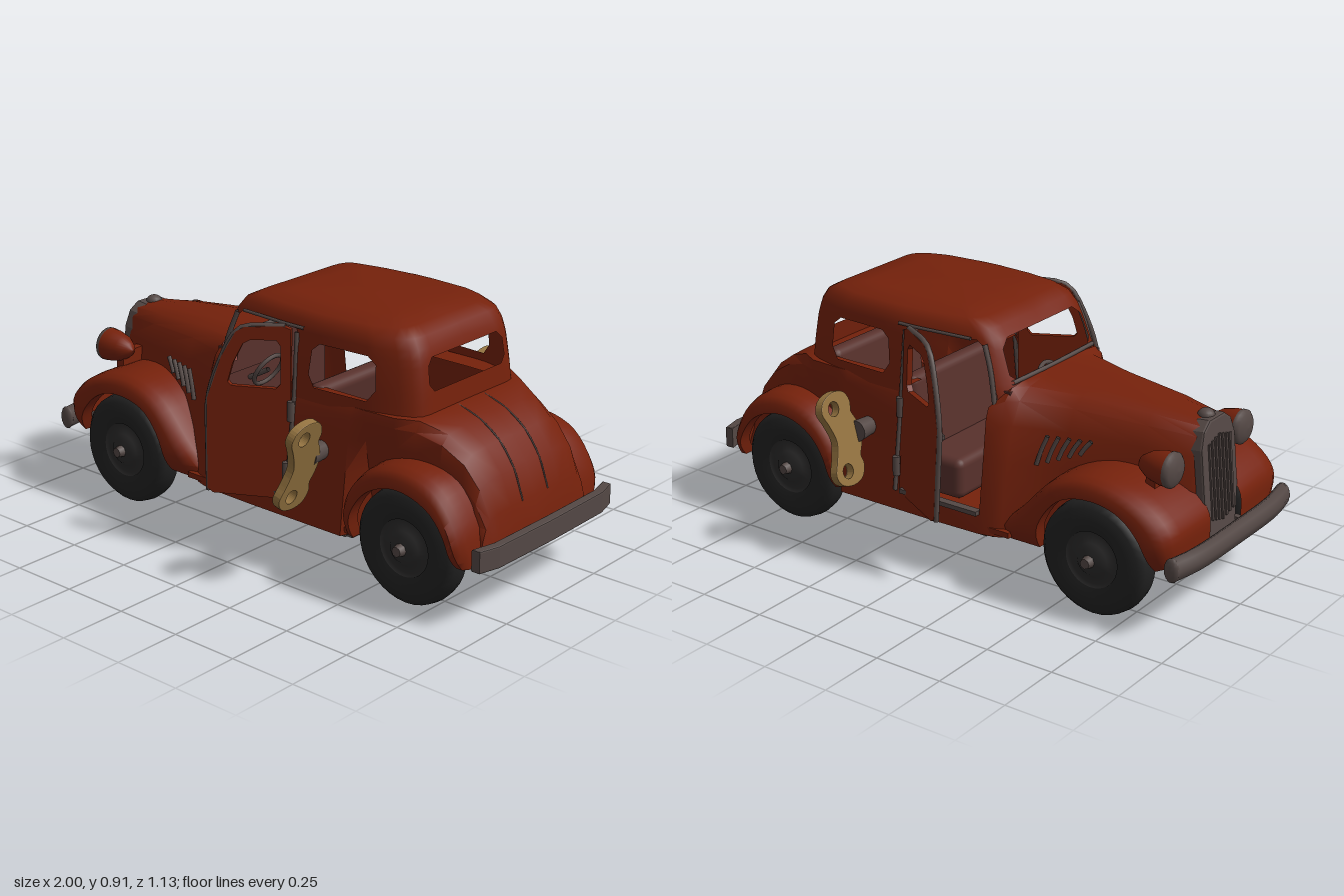
import * as THREE from 'three';
import { mergeGeometries, mergeVertices, toCreasedNormals } from 'three/addons/utils/BufferGeometryUtils.js';
import { RoundedBoxGeometry } from 'three/addons/geometries/RoundedBoxGeometry.js';

const mat = (name, color) => {
  const m = new THREE.MeshStandardMaterial({ color, side: THREE.DoubleSide });
  m.name = name;
  return m;
};

// Copy a geometry to the other side of z = 0, keeping faces outward
function mirrorZ(geo) {
  const g = geo.clone().scale(1, 1, -1);
  const n = g.attributes.position.count;
  const src = g.index ? Array.from(g.index.array) : Array.from({ length: n }, (_, i) => i);
  for (let i = 0; i < src.length; i += 3) [src[i + 1], src[i + 2]] = [src[i + 2], src[i + 1]];
  g.setIndex(src);
  return g;
}

// Surface through rows of points; keep(i, j) returns 1 (quad), 0 (hole) or corner triples
function gridSurface(rows, keep = () => 1) {
  const n = rows[0].length, index = [];
  for (let i = 0; i < rows.length - 1; i++) for (let j = 0; j < n - 1; j++) {
    const c = [i * n + j, i * n + j + 1, (i + 1) * n + j + 1, (i + 1) * n + j];
    const k = keep(i, j);
    if (k === 1) index.push(c[0], c[1], c[2], c[0], c[2], c[3]);
    else if (k) index.push(...k.map((q) => c[q]));
  }
  const g = new THREE.BufferGeometry();
  g.setAttribute('position', new THREE.Float32BufferAttribute(rows.flat(2), 3));
  g.setIndex(index);
  g.computeVertexNormals();
  return g;
}

function wholeFromHalf(half, crease) {
  half.deleteAttribute('normal');
  const g = mergeVertices(mergeGeometries([half, mirrorZ(half)]), 1e-4);
  return toCreasedNormals(g, crease);
}

const lerp = THREE.MathUtils.lerp;
const curve = (pts) => new THREE.CatmullRomCurve3(pts.map(([x, y, z = 0]) => new THREE.Vector3(x, y, z)));

export function createModel() {
  const car = new THREE.Group();
  const red = mat('red paint', 0x75210b), grey = mat('worn metal', 0x544845), black = mat('tyre rubber', 0x222222);
  const dark = mat('dark hub', 0x2b2a2a), gold = mat('brass', 0x947340), seatMat = mat('seat brown', 0x58312c);

  const add = (name, geo, m) => {
    const mesh = new THREE.Mesh(geo, m);
    mesh.name = name;
    car.add(mesh);
  };
  const pair = (name, geo, m) => { add(name + 'Left', geo, m); add(name + 'Right', mirrorZ(geo), m); };
  const box = (w, h, d, x, y, z, r = 0) =>
    (r ? new RoundedBoxGeometry(w, h, d, 3, r) : new THREE.BoxGeometry(w, h, d)).translate(x, y, z);
  const tube = (pts, r) => new THREE.TubeGeometry(curve(pts), 20, r, 8);

  // Lower body: sections along x as [x, bottom width, top width, top y, bottom y, squareness]
  const stations = [
    [-0.88, .12, .09, .62, .22, 0], [-0.86, .14, .11, .647, .2, 0], [-0.7, .19, .165, .665, .2, 0],
    [-0.45, .25, .225, .682, .19, 0], [-0.27, .36, .29, .69, .18, .1], [-0.24, .37, .315, .69, .18, .5],
    [-0.19, .38, .327, .62, .18, 1], [0, .385, .332, .62, .18, 1], [.15, .385, .333, .62, .18, 1],
    [.41, .385, .333, .62, .18, 1], [.46, .26, .333, .62, .18, 1], [.58, .25, .325, .62, .18, 1],
    [.65, .25, .315, .62, .18, .7], [.74, .25, .3, .59, .18, .5], [.82, .25, .29, .535, .19, .4],
    [.88, .29, .28, .455, .19, .4], [.92, .3, .27, .35, .2, .4], [.935, .29, .26, .24, .2, .4]];
  const round = [[1, 0], [1, .15], [.98, .5], [.94, .75], [.83, .9], [.62, .965], [.34, .99], [0, 1]];
  const square = [[1, 0], [1, .15], [1, .5], [1, .75], [1, .92], [.97, 1], [.72, 1], [0, 1]];
  const bodyRows = stations.map(([x, wb, wt, yt, yb, k]) => round.map(([s, v], j) => {
    const f = lerp(v, square[j][1], k);
    return [x, lerp(yb, yt, f), lerp(wb, wt, f) * lerp(s, square[j][0], k)];
  }));
  const bodyHalf = gridSurface(bodyRows, (i, j) => {
    if (i >= 6 && i < 8 && j >= 1) return 0;
    return i >= 5 && i < 11 && j === 6 ? 0 : 1;
  });
  add('lowerBody', wholeFromHalf(bodyHalf, 0.7), red);

  // Cabin: plan loops stacked upward as [y, front x, back x, half width]
  const levels = [[.6, -.26, .645, .335], [.65, -.25, .64, .331], [.69, -.235, .636, .327], [.715, -.225, .632, .325],
    [.775, -.202, .623, .319], [.8, -.192, .617, .315], [.83, -.178, .607, .311], [.865, -.15, .585, .301], [.89, -.1, .54, .277],
    [.903, 0, .44, .19], [.908, .19, .2, 0]];
  const loop = [[-1, 0], [-1, .3], [-1, .62], [-.99, .73], [-.96, .81], [-.9, .87], [-.84, .89], [-.5, .96], [-.16, .99],
    [-.1, 1], [.05, 1], [.12, 1], [.6, .96], [.67, .94], [.85, .87], [.94, .8], [.985, .72], [1, .62], [1, .55], [1, 0]];
  const cabinRows = levels.map(([y, f, b, w]) => loop.map(([u, s]) => [(f + b) / 2 + u * (b - f) / 2, y, s * w]));
  // Openings [first column, last column, first level, last level]: windscreen, door, side window, rear window
  const openings = [[-1, 2, 2, 5], [5, 8, -1, 5], [10, 12, 1, 4], [17, 19, 2, 4]];
  const cabinHalf = gridSurface(cabinRows, (k, i) => {
    for (const [i0, i1, k0, k1] of openings) {
      if (i < i0 || i > i1 || k < k0 || k > k1) continue;
      if (k === k0 && i === i0) return [0, 1, 3];
      if (k === k0 && i === i1) return [0, 1, 2];
      if (k === k1 && i === i0) return [0, 2, 3];
      if (k === k1 && i === i1) return [1, 2, 3];
      return 0;
    }
    return 1;
  });
  add('cabin', wholeFromHalf(cabinHalf, 0.8), red);
  pair('dripRail', tube([[-.1, .836, .292], [0, .838, .303], [.1, .838, .31], [.19, .838, .311]], .006), grey);
  pair('rearPost', tube([[.165, .25, .38], [.165, .6, .335], [.16, .82, .314]], .008), grey);
  pair('screenPost', tube([[-.205, .62, .3], [-.175, .74, .285], [-.145, .82, .275]], .009), grey);
  add('screenSill', tube([[-.235, .693, -.24], [-.24, .693, 0], [-.235, .693, .24]], .008), grey);
  pair('doorSill', box(.33, .016, .03, -.02, .252, .37), grey);
  pair('trunkSeam', tube([[.65, .617, .07], [.74, .588, .07], [.82, .533, .07], [.88, .453, .07], [.92, .35, .07]], .003), grey);

  // Fenders: surface between a crown curve and a wheel-arch curve, drawn in at both ends
  const fender = (crown, arch, zIn, zOut) => {
    const a = curve(crown).getPoints(28), b = curve(arch).getPoints(28);
    const section = [[0, zIn], [0, -.1], [.06, -.05], [.2, -.02], [.5, 0], [1, 0], [1, -.05]];
    return toCreasedNormals(gridSurface(a.map((p, i) => {
      const z = zOut - .04 * Math.max(0, 1 - Math.min(i, 28 - i) / 4) ** 2;
      return section.map(([f, dz], j) => [lerp(p.x, b[i].x, f), lerp(p.y, b[i].y, f), j ? z + dz : dz]);
    })), 0.9);
  };
  pair('frontFender', fender(
    [[-.93, .25], [-.92, .36], [-.81, .45], [-.62, .49], [-.47, .44], [-.33, .3], [-.19, .18]],
    [[-.87, .22], [-.83, .32], [-.75, .395], [-.64, .42], [-.52, .39], [-.44, .29], [-.42, .18]], .1, .382), red);
  pair('rearFender', fender(
    [[.41, .19], [.43, .34], [.52, .45], [.66, .49], [.8, .455], [.89, .34], [.925, .2]],
    [[.45, .18], [.47, .29], [.54, .38], [.66, .42], [.79, .38], [.86, .29], [.88, .2]], .24, .405), red);

  // Wheels
  const lathe = (pts, seg = 36) => new THREE.LatheGeometry(pts.map(([r, y]) => new THREE.Vector2(r, y)), seg);
  const tyre = lathe([[.1, -.045], [.14, -.055], [.18, -.05], [.2, -.03], [.205, 0], [.2, .03], [.18, .05], [.14, .055], [.1, .045]]).rotateX(Math.PI / 2);
  const rim = lathe([[.105, .045], [.09, .035], [.06, .045], [.045, .06], [0, .062]], 28).rotateX(Math.PI / 2);
  const cap = new THREE.CylinderGeometry(.018, .024, .03, 8).rotateX(Math.PI / 2);
  for (const [end, x] of [['front', -.64], ['rear', .665]]) {
    pair(end + 'Tyre', tyre.clone().translate(x, .205, .32), black);
    pair(end + 'Rim', rim.clone().translate(x, .205, .32), dark);
    pair(end + 'HubCap', cap.clone().translate(x, .205, .39), grey);
    add(end + 'Axle', new THREE.CylinderGeometry(.018, .018, .62, 10).rotateX(Math.PI / 2).translate(x, .205, 0), grey);
  }

  // Open doors, hinged at the back edge
  const shape = (pts) => new THREE.Shape(pts.map(([x, y]) => new THREE.Vector2(x, y)));
  const doorShape = shape([[0, .25], [0, .83], [-.03, .84], [-.16, .828], [-.19, .81], [-.24, .72], [-.29, .57], [-.29, .25], [-.27, .235], [-.02, .235]]);
  doorShape.holes.push(shape([[-.035, .64], [-.035, .77], [-.05, .79], [-.14, .785], [-.165, .77], [-.2, .7], [-.218, .635], [-.205, .622], [-.05, .622]]));
  const placeDoor = (g) => {
    const p = g.attributes.position;
    for (let i = 0; i < p.count; i++) p.setZ(i, p.getZ(i) - .05 * (p.getY(i) - .23));
    g.computeVertexNormals();
    return g.rotateY(.49).translate(.155, 0, .342);
  };
  pair('door', placeDoor(new THREE.ExtrudeGeometry(doorShape, { depth: .02, bevelEnabled: false })), red);
  pair('doorEdge', placeDoor(tube([[-.288, .24, .01], [-.29, .42, .01], [-.288, .57, .01], [-.24, .72, .01], [-.19, .81, .01], [-.15, .83, .01], [-.02, .838, .01]], .01)), grey);
  pair('doorHandle', placeDoor(box(.06, .015, .02, -.24, .53, -.01)), grey);
  for (const [y, z] of [[.34, .375], [.55, .348]])
    pair('hinge', new THREE.CylinderGeometry(.013, .013, .07, 8).translate(.162, y, z), grey);

  // Bonnet front: grille, ornament, headlights, louvres
  const grilleShape = shape([[-.075, .25], [.075, .25], [.1, .38], [.1, .56], [.08, .615], [.045, .64], [-.045, .64], [-.08, .615], [-.1, .56], [-.1, .38]]);
  const lean = (g) => g.rotateY(-Math.PI / 2).rotateZ(-.1).translate(-.9, 0, 0);
  add('grilleFrame', lean(new THREE.ExtrudeGeometry(grilleShape, { depth: .04, bevelSize: .008, bevelThickness: .008, bevelSegments: 2 })), grey);
  for (let i = -3; i <= 3; i++) add('grilleBar', lean(box(.01, .3 - Math.abs(i) * .012, .008, i * .022, .44, .05)), grey);
  add('radiatorCap', new THREE.SphereGeometry(.03, 16, 10).scale(1, .8, 1).translate(-.84, .645, 0), grey);
  const pod = lathe([[0, -.075], [.025, -.06], [.047, -.025], [.058, .02], [.06, .05]], 24);
  const lens = lathe([[.061, .045], [.061, .058], [.05, .068], [.025, .075], [0, .077]], 24);
  for (const [n, g, m] of [['headlight', pod, red], ['headlightLens', lens, grey]])
    pair(n, g.rotateZ(Math.PI / 2).translate(-.8, .53, .225), m);
  pair('headlightBracket', box(.035, .09, .1, -.78, .475, .19), red);
  for (let i = 0; i < 5; i++) {
    const [x, z, drop] = [-.54 + i * .036, .223 + i * .011, .05 + i * .014];
    pair('louvre', tube([[x, .55, z], [x + .02, .55 - drop / 2, z + .008], [x + .035, .55 - drop, z + .014]], .008), grey);
  }

  // Bumpers and their irons
  const bumperPath = [[-.945, 0, -.365], [-.965, 0, -.25], [-.97, 0, 0], [-.965, 0, .25], [-.945, 0, .365]];
  add('frontBumper', tube(bumperPath, .029).scale(1, 1.5, 1).translate(0, .255, 0), grey);
  pair('frontBumperEnd', new THREE.SphereGeometry(.029, 12, 8).scale(1, 1.5, .5).translate(-.945, .255, .365), grey);
  const rearPlan = shape([[.945, -.365], [.97, -.365], [.99, -.29], [.995, 0], [.99, .29], [.97, .365], [.945, .365], [.965, .28], [.968, 0], [.965, -.28]]);
  add('rearBumper', new THREE.ExtrudeGeometry(rearPlan, { depth: .066, bevelSize: .004, bevelThickness: .006, bevelSegments: 2 })
    .rotateX(-Math.PI / 2).translate(0, .214, 0), grey);
  pair('frontBumperIron', box(.16, .03, .025, -.89, .235, .13), grey);
  pair('rearBumperIron', box(.13, .03, .025, .905, .225, .2), grey);

  // Underside: floor, chassis rails, cross members, drive shaft
  add('cabinFloor', box(.74, .02, .74, .06, .2, 0), red);
  add('frontFloor', box(.58, .02, .3, -.59, .215, 0), red);
  add('rearFloor', box(.5, .02, .5, .67, .215, 0), red);
  pair('chassisRail', box(1.72, .03, .025, 0, .18, .15), grey);
  pair('sillRail', box(.62, .022, .025, .1, .178, .345), grey);
  for (const x of [-.8, -.4, -.22, .42, .84]) add('crossMember', box(.03, .025, x > -.3 && x < .5 ? .7 : .46, x, .18, 0), grey);
  add('driveShaft', new THREE.CylinderGeometry(.018, .018, 1.25, 10).rotateZ(Math.PI / 2).translate(.02, .175, 0), grey);
  add('differential', new THREE.SphereGeometry(.035, 14, 10).translate(.665, .19, 0), grey);

  // Interior
  add('frontSeat', box(.19, .15, .54, .06, .29, 0, .03), seatMat);
  add('frontSeatBack', box(.07, .34, .54, 0, 0, 0, .03).rotateZ(-.12).translate(.18, .46, 0), seatMat);
  add('rearSeat', box(.18, .15, .48, .44, .29, 0, .03), seatMat);
  add('rearSeatBack', box(.07, .34, .48, 0, 0, 0, .03).rotateZ(-.12).translate(.55, .47, 0), seatMat);
  add('dashboard', box(.04, .1, .54, -.225, .62, 0), seatMat);
  add('bulkhead', box(.015, .42, .56, -.24, .42, 0), seatMat);
  add('steeringWheel', new THREE.TorusGeometry(.065, .008, 8, 24).rotateY(Math.PI / 2).rotateZ(-.5).translate(-.14, .57, .13), grey);
  add('steeringColumn', tube([[-.23, .52, .13], [-.185, .545, .13], [-.14, .57, .13]], .009), grey);

  // Wind-up keys
  const halfKey = [[.012, .05], [.026, .078], [.02, .115], [.04, .152], [.09, .165], [.145, .147], [.162, .112], [.142, .065]];
  const outline = [[0, 0], ...halfKey, [.122, 0], ...halfKey.map(([a, b]) => [a, -b]).reverse()];
  const spline = new THREE.CatmullRomCurve3(outline.map(([a, b]) => new THREE.Vector3(a, b, 0)), true);
  const keyShape = new THREE.Shape(spline.getPoints(72).slice(0, -1).map((p) => new THREE.Vector2(p.x, p.y)));
  for (const b of [.112, -.112]) keyShape.holes.push(new THREE.Path().absarc(.105, b, .026, 0, Math.PI * 2, true));
  const key = new THREE.ExtrudeGeometry(keyShape, { depth: .024, bevelSize: .003, bevelThickness: .004, bevelSegments: 2, curveSegments: 16 });
  pair('windUpKey', key.translate(0, 0, -.012).rotateY(-Math.PI / 2).rotateZ(-.26).translate(.315, .44, .398), gold);
  pair('keyShaft', new THREE.CylinderGeometry(.038, .03, .1, 16).rotateX(Math.PI / 2).translate(.3, .45, .37), grey);

  return car;
}
